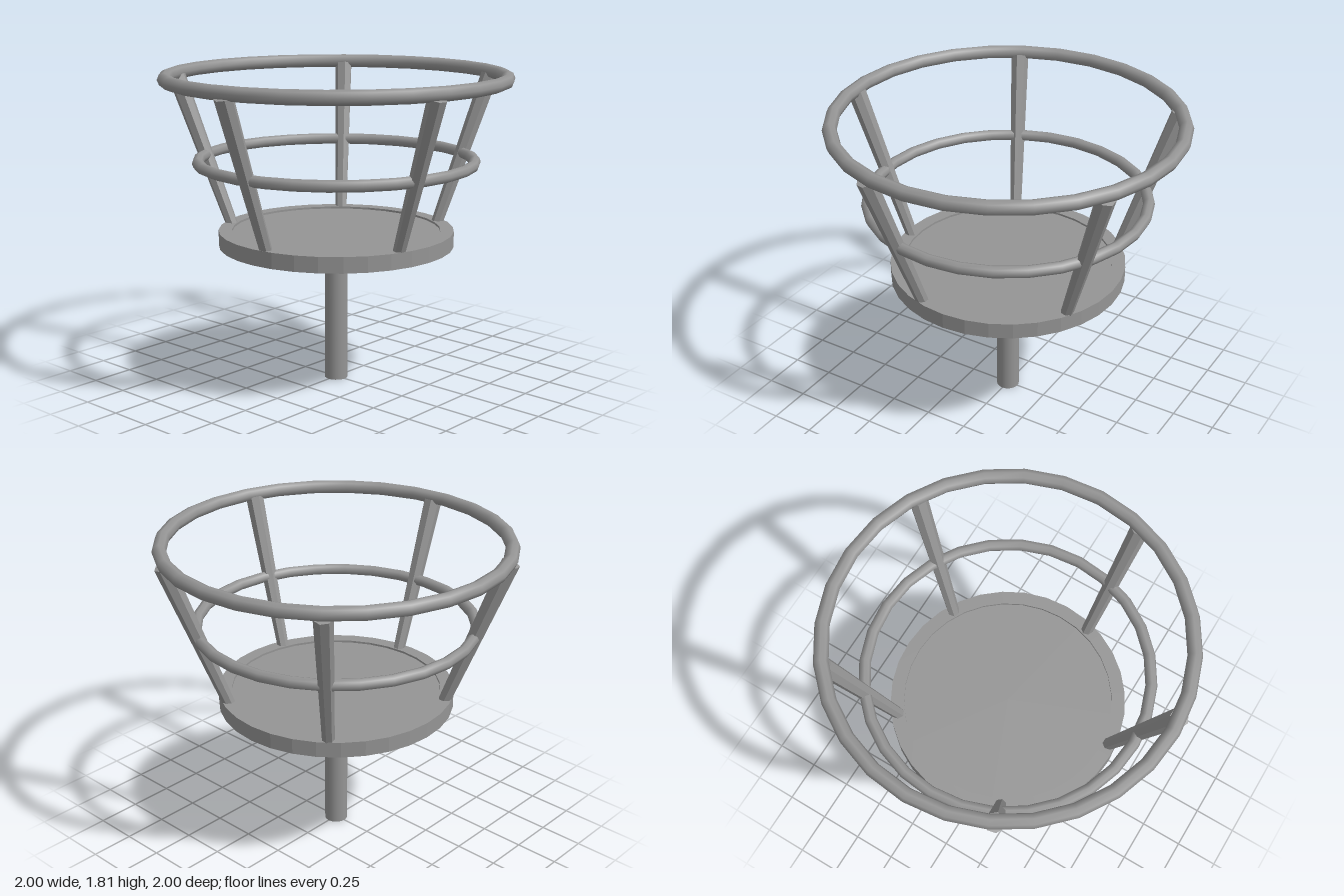
import * as THREE from 'three';

export function createModel() {
  const model = new THREE.Group();
  const smooth = new THREE.MeshStandardMaterial({ color: 0x949494 });
  const flat = new THREE.MeshStandardMaterial({ color: 0x949494, flatShading: true });

  const add = (name, geometry, material = smooth) => {
    const mesh = new THREE.Mesh(geometry, material);
    mesh.name = name;
    model.add(mesh);
    return mesh;
  };

  // Central post
  add('post', new THREE.CylinderGeometry(0.067, 0.067, 0.81, 20)).position.y = 0.405;

  // Round base plate: slightly domed underside, shallow inset floor
  const plate = [[0, 0.8], [0.677, 0.81], [0.677, 0.9], [0.6, 0.9], [0.6, 0.888], [0, 0.888]]
    .map(([r, y]) => new THREE.Vector2(r, y));
  add('basePlate', new THREE.LatheGeometry(plate, 32), flat);

  // Horizontal hoops
  const hoop = (name, radius, tube, y) => {
    const geometry = new THREE.TorusGeometry(radius, tube, 8, 28);
    geometry.rotateX(Math.PI / 2);
    add(name, geometry).position.y = y;
  };
  hoop('topHoop', 0.96, 0.04, 1.773);
  hoop('middleHoop', 0.787, 0.033, 1.3);

  // Splayed struts, thicker towards the top, unevenly spaced round the plate
  const up = new THREE.Vector3(0, 1, 0);
  for (const degrees of [16.2, 84.5, 152.8, 231, 298.7]) {
    const a = THREE.MathUtils.degToRad(degrees);
    const at = (r, y) => new THREE.Vector3(r * Math.cos(a), y, r * Math.sin(a));
    const bottom = at(0.632, 0.88);
    const top = at(0.957, 1.753);
    const axis = top.clone().sub(bottom);
    const strut = add('strut', new THREE.CylinderGeometry(0.053, 0.035, axis.length(), 7), flat);
    strut.position.copy(bottom).add(top).multiplyScalar(0.5);
    strut.quaternion.setFromUnitVectors(up, axis.normalize());
  }

  return model;
}
